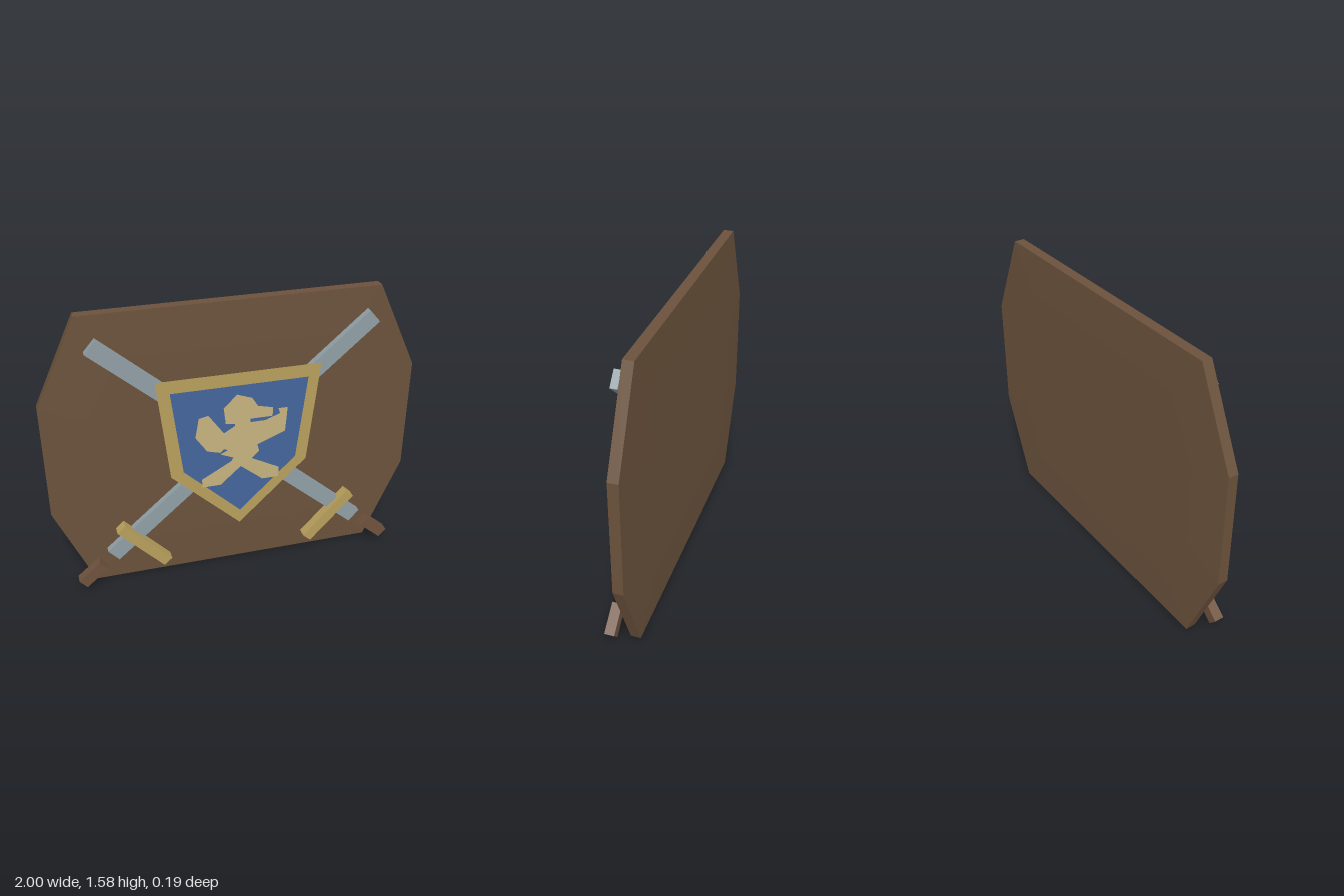
import * as THREE from 'three';
import { ConvexGeometry } from 'three/addons/geometries/ConvexGeometry.js';

function material(name, color, side = THREE.FrontSide) {
  const m = new THREE.MeshStandardMaterial({ color, side });
  m.name = name;
  return m;
}

export function createModel() {
  const wood = material('wood brown', 0x6b523c);
  const leather = material('grip brown', 0x6e513d);
  const steel = material('steel', 0x909fa5);
  const brass = material('guard gold', 0xb8a05c);
  const gold = material('rim gold', 0xb8a05c, THREE.DoubleSide);
  const blue = material('field blue', 0x44659b, THREE.DoubleSide);
  const pale = material('emblem gold', 0xc5b37e, THREE.DoubleSide);

  const model = new THREE.Group();
  model.name = 'wallPlaque';

  function add(parent, name, geometry, mat, x = 0, y = 0, z = 0) {
    const mesh = new THREE.Mesh(geometry, mat);
    mesh.name = name;
    mesh.position.set(x, y, z);
    parent.add(mesh);
    return mesh;
  }

  // Backboard: eight-sided slab, slightly thicker in the middle
  const outline = [[0.78, 1.58], [1, 1.11], [1, 0.48], [0.8, 0]];
  const points = [];
  for (const [x, y] of outline) {
    for (const sx of [-1, 1]) {
      for (const sz of [-1, 1]) {
        points.push(new THREE.Vector3(sx * x, y, sz * 0.027));
        points.push(new THREE.Vector3(sx * x * 0.76, 0.79 + (y - 0.79) * 0.7, sz * 0.033));
      }
    }
  }
  add(model, 'backboard', new ConvexGeometry(points), wood, 0, 0, -0.064);

  // Crossed swords: a blade, guard and grip for each side
  for (const s of [-1, 1]) {
    const sword = new THREE.Group();
    sword.name = s > 0 ? 'leftSword' : 'rightSword';
    model.add(sword);
    const bar = (name, mat, length, width, depth, x, y, z, angle) => {
      const mesh = add(sword, name, new THREE.BoxGeometry(length, width, depth), mat, s * x, y, z);
      mesh.rotation.z = s * angle;
    };
    bar('blade', steel, 1.89, 0.087, 0.036, -0.012, 0.823, 0.019, -0.719);
    bar('guard', brass, 0.361, 0.06, 0.053, 0.528, 0.25, 0.037, 0.824);
    bar('grip', leather, 0.16, 0.062, 0.053, 0.82, 0.11, 0.037, -0.719);
  }

  // Shield: flat layered plates
  const flat = (pts) => new THREE.ShapeGeometry(
    new THREE.Shape(pts.map(([x, y]) => new THREE.Vector2(x, y))));
  const shield = new THREE.Group();
  shield.name = 'shield';
  model.add(shield);
  add(shield, 'shieldRim', flat([
    [-0.43, 1.24], [-0.37, 0.677], [0, 0.32], [0.37, 0.677], [0.43, 1.24],
  ]), gold, 0, 0, 0.075);
  add(shield, 'shieldField', flat([
    [-0.36, 1.175], [-0.305, 0.707], [0, 0.41], [0.305, 0.707], [0.36, 1.175],
  ]), blue, 0, 0, 0.086);

  // Rearing beast emblem: head, forelegs, body and hind legs
  const emblem = [
    [-2, 113], [6, 110], [9, 105], [17, 103], [17, 98], [5, 98], [5, 96], [13, 96],
    [21, 99], [20, 102], [25, 102], [24, 88], [9, 82], [10, 78], [6, 74],
    [21, 66], [21, 60], [12, 60], [0, 70], [-11, 60], [-21, 60], [-21, 65],
    [-5, 74], [-4, 76], [-11, 79], [-7, 81], [-9, 82], [-11, 80], [-18, 82],
    [-24, 91], [-22, 102], [-17, 103], [-9, 91.5], [-3, 95], [-3, 96], [-8, 97], [-9, 106],
  ].map(([x, y]) => [x / 100, y / 100]);
  add(shield, 'emblem', flat(emblem), pale, 0, 0, 0.096);

  return model;
}
